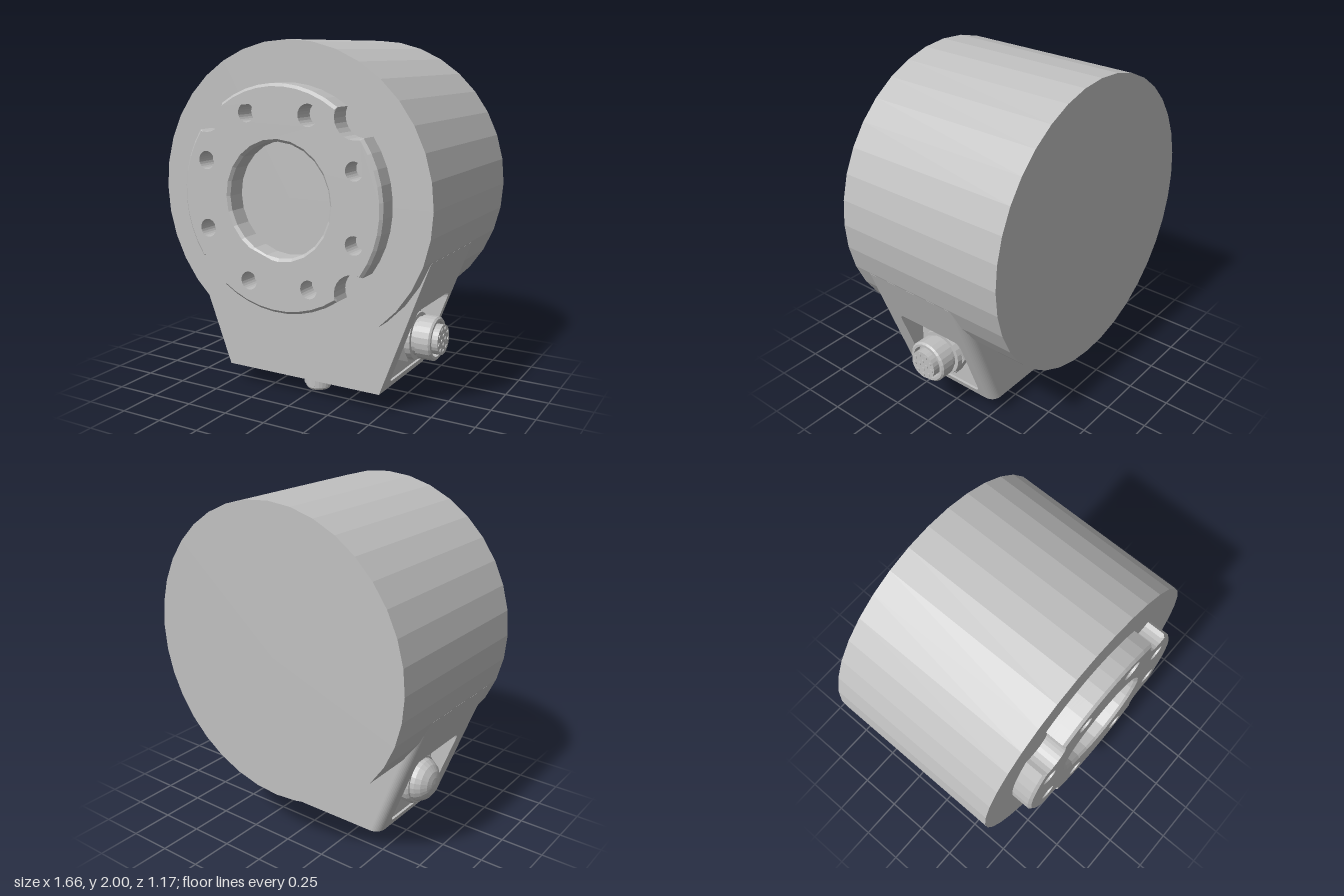
import * as THREE from 'three';

const AXIS_Y = 1.17, R = 0.83;
const BASE_Y = 0.115, TOP_Y = 0.878, FLOOR_X = 0.49, PORT_Z = 0.04;
// x of the sloping base side, tangent to the drum
const slant = (y) => 0.49 + (y - BASE_Y) * 0.376;

export function createModel() {
  const grey = new THREE.MeshStandardMaterial({ color: 0xc0c0c0 });
  grey.name = 'machined grey';
  const model = new THREE.Group();
  model.name = 'rotaryActuator';

  // Faceted mesh helper
  function add(name, geo, x = 0, y = 0, z = 0, parent = model) {
    const g = geo.index ? geo.toNonIndexed() : geo;
    g.computeVertexNormals();
    const m = new THREE.Mesh(g, grey);
    m.name = name;
    m.position.set(x, y, z);
    parent.add(m);
    return m;
  }
  function remap(geo, fn) {
    const p = geo.attributes.position, v = new THREE.Vector3();
    for (let i = 0; i < p.count; i++) {
      v.fromBufferAttribute(p, i);
      fn(v);
      p.setXYZ(i, v.x, v.y, v.z);
    }
    return geo;
  }
  // Mirror in x and restore the winding
  function mirrorX(geo) {
    const g = geo.clone().scale(-1, 1, 1), p = g.attributes.position;
    const a = new THREE.Vector3(), b = new THREE.Vector3();
    for (let i = 0; i < p.count; i += 3) {
      a.fromBufferAttribute(p, i + 1);
      b.fromBufferAttribute(p, i + 2);
      p.setXYZ(i + 1, b.x, b.y, b.z);
      p.setXYZ(i + 2, a.x, a.y, a.z);
    }
    return g;
  }
  const lathe = (pts, n) => new THREE.LatheGeometry(pts.map(([r, y]) => new THREE.Vector2(r, y)), n);
  const circle = (x, y, r) => new THREE.Path().absarc(x, y, r, 0, Math.PI * 2, true);

  // Main drum
  add('drum', new THREE.CylinderGeometry(R, R, 1.055, 36).rotateX(Math.PI / 2), 0, AXIS_Y, -0.0575);

  // Output flange: four notches, eight bolt holes, central bore
  const fr = 0.61, nd = 0.637, nr = 0.11;
  const half = Math.acos((fr * fr + nd * nd - nr * nr) / (2 * fr * nd));
  const pts = [];
  for (let q = 0; q < 4; q++) {
    const mid = Math.PI / 4 + q * Math.PI / 2;
    const cx = nd * Math.cos(mid), cy = nd * Math.sin(mid);
    const start = Math.atan2(fr * Math.sin(mid - half) - cy, fr * Math.cos(mid - half) - cx);
    const inward = mid + Math.PI;
    let d = inward - start;
    d = Math.atan2(Math.sin(d), Math.cos(d));
    for (let i = 0; i <= 10; i++) {
      const a = start + 2 * d * i / 10;
      pts.push(new THREE.Vector2(cx + nr * Math.cos(a), cy + nr * Math.sin(a)));
    }
    for (let i = 1; i < 9; i++) {
      const a = mid + half + (Math.PI / 2 - 2 * half) * i / 9;
      pts.push(new THREE.Vector2(fr * Math.cos(a), fr * Math.sin(a)));
    }
  }
  const flange = new THREE.Shape(pts);
  flange.holes.push(circle(0, 0, 0.31));
  for (let i = 0; i < 8; i++) {
    const a = Math.PI / 8 + i * Math.PI / 4;
    flange.holes.push(circle(0.49 * Math.cos(a), 0.49 * Math.sin(a), i === 1 ? 0.059 : 0.05));
  }
  const flangeGeo = new THREE.ExtrudeGeometry(flange, { depth: 0.12, steps: 8, bevelEnabled: false, curveSegments: 12 });
  // Chamfer the front rim and bore
  remap(flangeGeo, (v) => {
    if (v.z < 0.119) return;
    const r = Math.hypot(v.x, v.y);
    const s = r > 0.6 ? 0.975 : r < 0.33 ? 1.05 : 1;
    v.x *= s;
    v.y *= s;
  });
  add('outputFlange', flangeGeo, 0, AXIS_Y, 0.47);

  // Base core
  const coreH = 0.8, coreY = BASE_Y + coreH / 2;
  add('baseCore', new THREE.BoxGeometry(FLOOR_X * 2, coreH, 0.58), 0, coreY, 0.07);
  add('baseCoreRear', new THREE.BoxGeometry(0.86, coreH, 0.06), 0, coreY, -0.25);

  // Sloping base sides with a pocket cut to a vertical floor (shape is in -z, y)
  const side = new THREE.Shape();
  side.moveTo(-0.36, BASE_Y).lineTo(0.22, BASE_Y).lineTo(0.22, TOP_Y).lineTo(-0.36, TOP_Y).closePath();
  const [u0, u1, v0, v1, c] = [-0.265, 0.185, 0.155, 0.585, 0.04];
  const pocket = new THREE.Path();
  pocket.moveTo(u0 + c, v0).lineTo(u1 - c, v0).quadraticCurveTo(u1, v0, u1, v0 + c)
    .lineTo(u1, v1 - c).quadraticCurveTo(u1, v1, u1 - c, v1)
    .lineTo(u0 + c, v1).quadraticCurveTo(u0, v1, u0, v1 - c)
    .lineTo(u0, v0 + c).quadraticCurveTo(u0, v0, u0 + c, v0);
  side.holes.push(pocket);
  const sideGeo = new THREE.ExtrudeGeometry(side, { depth: 1, bevelEnabled: false, curveSegments: 5 }).rotateY(Math.PI / 2);
  remap(sideGeo, (v) => { v.x = v.x > 0.5 ? slant(v.y) : FLOOR_X; });

  // Rounded rear corner running up the slope
  const corner = new THREE.Shape();
  corner.moveTo(-0.36, 0.22).lineTo(0, 0.22).absarc(-0.06, 0.22, 0.06, 0, Math.PI / 2, false);
  corner.lineTo(-0.36, 0.28);
  const cornerGeo = new THREE.ExtrudeGeometry(corner, { depth: TOP_Y - BASE_Y, bevelEnabled: false, curveSegments: 5 })
    .rotateX(-Math.PI / 2).translate(0, BASE_Y, 0);
  remap(cornerGeo, (v) => { v.x += slant(v.y); });

  add('leftBaseSide', sideGeo);
  add('rightBaseSide', mirrorX(sideGeo));
  add('leftRearCorner', cornerGeo);
  add('rightRearCorner', mirrorX(cornerGeo));

  // Multi-pin connector in the left pocket (built along +y, then laid along +x)
  const plug = new THREE.Group();
  plug.name = 'pinConnector';
  plug.position.set(FLOOR_X, 0.37, PORT_Z);
  plug.rotation.z = -Math.PI / 2;
  model.add(plug);
  add('hexNut', new THREE.CylinderGeometry(0.155, 0.155, 0.06, 6), 0, 0.03, 0, plug);
  add('collar', new THREE.CylinderGeometry(0.135, 0.14, 0.03, 24), 0, 0.075, 0, plug);
  add('shell', lathe([[0.112, 0.06], [0.112, 0.11], [0.125, 0.115], [0.125, 0.195], [0.115, 0.205],
    [0.1, 0.205], [0.1, 0.16], [0, 0.16]], 24), 0, 0, 0, plug);
  add('pinInsert', new THREE.CylinderGeometry(0.085, 0.085, 0.08, 24), 0, 0.195, 0, plug);
  for (const [n, r] of [[4, 0.026], [9, 0.064]]) {
    for (let i = 0; i < n; i++) {
      const a = i / n * Math.PI * 2;
      add('pin', new THREE.CylinderGeometry(0.011, 0.011, 0.006, 10), r * Math.cos(a), 0.237, r * Math.sin(a), plug);
    }
  }

  // Domed blanking cap in the right pocket
  const cap = lathe([[0.15, 0], [0.15, 0.06], [0.14, 0.075], [0.13, 0.075], [0.125, 0.1], [0.105, 0.13],
    [0.07, 0.155], [0.035, 0.164], [0, 0.167]], 24).rotateZ(Math.PI / 2);
  add('domedCap', cap, -FLOOR_X, 0.35, PORT_Z);

  // Underside plate, screws, sockets and small tags
  add('bottomPlate', new THREE.BoxGeometry(0.87, 0.015, 0.54), 0, 0.1085, PORT_Z);
  for (const x of [-0.38, 0.38]) for (const z of [-0.17, 0.25]) {
    add('plateScrew', new THREE.CylinderGeometry(0.026, 0.026, 0.008, 16), x, 0.099, z);
  }
  const socket = lathe([[0, 0.012], [0.045, 0.012], [0.05, 0], [0.066, 0], [0.074, 0.012], [0.074, 0.025],
    [0.085, 0.03], [0.085, 0.09], [0.094, 0.092], [0.094, 0.105]], 24);
  for (const [x, z] of [[-0.225, -0.07], [0, 0.165], [0.225, -0.07]]) add('bottomSocket', socket, x, 0, z);
  for (const [x, z, w] of [[0, -0.1, 0.16], [-0.22, 0.17, 0.1], [0.22, 0.17, 0.1]]) {
    add('tagPlate', new THREE.BoxGeometry(w, 0.006, 0.07), x, 0.099, z);
  }
  return model;
}
